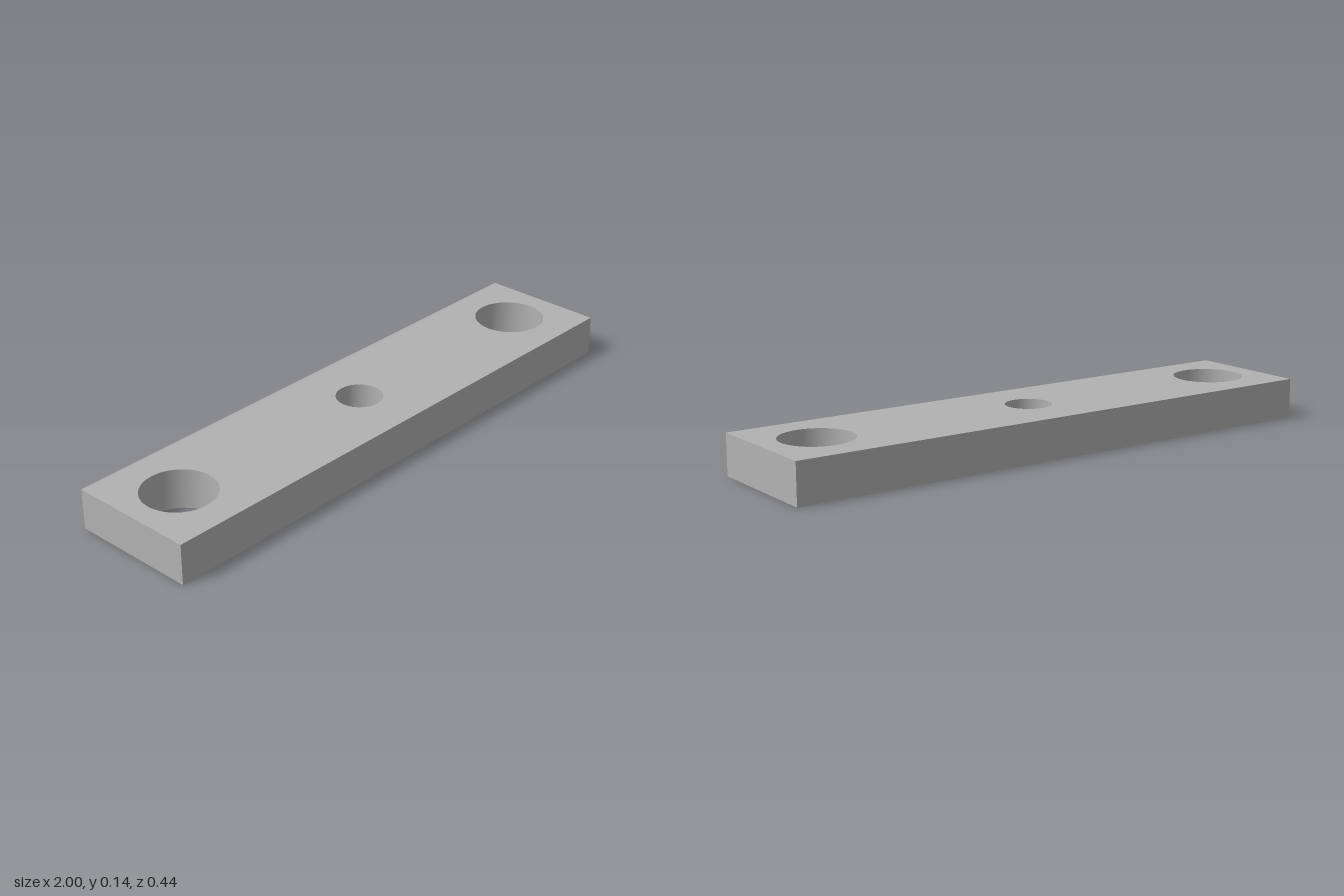
import * as THREE from 'three';
import { toCreasedNormals } from 'three/addons/utils/BufferGeometryUtils.js';

const HEIGHT = 0.14, HALF_DEPTH = 0.222, RECESS = 0.037, SEGMENTS = 24;

function circle(x, r) {
  return new THREE.Shape().absarc(x, 0, r, 0, Math.PI * 2, false);
}

function rectangle(w, d) {
  const s = new THREE.Shape();
  s.moveTo(-w, -d).lineTo(w, -d).lineTo(w, d).lineTo(-w, d).closePath();
  return s;
}

// Long rounded slot with a wider round pocket in its middle
function slotOutline(end, r, pocket) {
  const a = Math.asin(r / pocket), P = Math.PI;
  const s = new THREE.Shape();
  s.absarc(end, 0, r, -P / 2, P / 2, false);
  s.absarc(0, 0, pocket, a, P - a, false);
  s.absarc(-end, 0, r, P / 2, P * 1.5, false);
  s.absarc(0, 0, pocket, P + a, P * 2 - a, false);
  s.closePath();
  return s;
}

// Flat horizontal face with holes, facing up or down
function face(outline, holes, y, up) {
  const s = outline.clone();
  s.holes = holes;
  const g = new THREE.ShapeGeometry(s, SEGMENTS);
  g.rotateX(up ? -Math.PI / 2 : Math.PI / 2);
  return g.translate(0, y, 0);
}

// Vertical wall along an outline, facing outward or inward
function wall(outline, y0, y1, inward) {
  const pts = outline.getPoints(SEGMENTS);
  if (inward) pts.reverse();
  const pos = [];
  for (let i = 0; i < pts.length - 1; i++) {
    const a = pts[i], b = pts[i + 1];
    pos.push(a.x, y0, -a.y, b.x, y0, -b.y, b.x, y1, -b.y);
    pos.push(a.x, y0, -a.y, b.x, y1, -b.y, a.x, y1, -a.y);
  }
  const g = new THREE.BufferGeometry();
  g.setAttribute('position', new THREE.Float32BufferAttribute(pos, 3));
  return toCreasedNormals(g, 0.6);
}

export function createModel() {
  const group = new THREE.Group();
  group.name = 'mountingPlate';
  const grey = new THREE.MeshStandardMaterial({ color: 0xb2b2b2 });
  grey.name = 'grey';
  const add = (name, geometry) => {
    const mesh = new THREE.Mesh(geometry, grey);
    mesh.name = name;
    group.add(mesh);
  };

  const plate = rectangle(1, HALF_DEPTH);
  const leftHole = circle(0.805, 0.123), rightHole = circle(-0.805, 0.123);
  const centreHole = circle(0, 0.079);
  const slot = slotOutline(0.395, 0.07, 0.109);

  // Plate body
  add('plateTop', face(plate, [leftHole, rightHole, centreHole], HEIGHT, true));
  add('plateBottom', face(plate, [leftHole, rightHole, slot], 0, false));
  add('plateSides', wall(plate, 0, HEIGHT, false));

  // Through holes
  add('leftHole', wall(leftHole, 0, HEIGHT, true));
  add('rightHole', wall(rightHole, 0, HEIGHT, true));
  add('centreHole', wall(centreHole, RECESS, HEIGHT, true));

  // Shallow slot in the underside
  add('slotWall', wall(slot, 0, RECESS, true));
  add('slotCeiling', face(slot, [centreHole], RECESS, false));

  return group;
}
